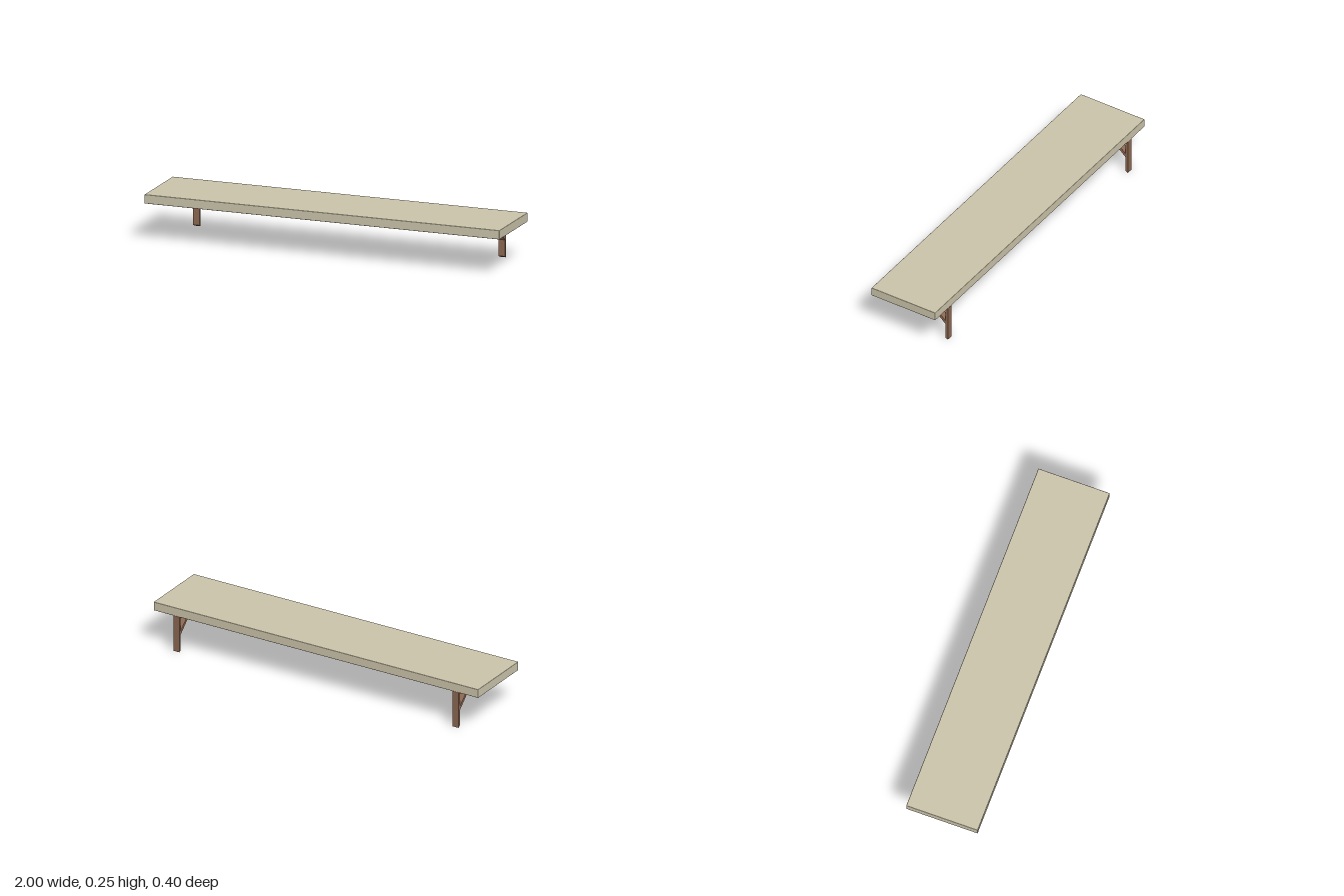
import * as THREE from 'three';
import { RoundedBoxGeometry } from 'three/addons/geometries/RoundedBoxGeometry.js';

const board = new THREE.MeshStandardMaterial({ color: 0xcbc4aa });
board.name = 'pale board';
const wood = new THREE.MeshStandardMaterial({ color: 0x8d6851 });
wood.name = 'brown wood';

const WIDTH = 0.036;

// Extrudes a side profile of [z, y] points across the bracket width
function sideProfile(name, points) {
  const shape = new THREE.Shape(points.map(([z, y]) => new THREE.Vector2(-z, y)));
  const geometry = new THREE.ExtrudeGeometry(shape, { depth: WIDTH, bevelEnabled: false });
  geometry.translate(0, 0, -WIDTH / 2).rotateY(Math.PI / 2);
  const mesh = new THREE.Mesh(geometry, wood);
  mesh.name = name;
  return mesh;
}

function createBracket(name, x) {
  const bracket = new THREE.Group();
  bracket.name = name;
  bracket.position.x = x;
  bracket.add(
    // Wall post with a slanted foot
    sideProfile('post', [[-0.184, 0.008], [-0.198, 0], [-0.198, 0.191], [-0.184, 0.191]]),
    // Arm under the board with a chamfered tip
    sideProfile('arm', [[0.006, 0.191], [-0.198, 0.191], [-0.198, 0.204], [0.014, 0.204], [0.012, 0.197]]),
    // Diagonal brace
    sideProfile('brace', [[-0.082, 0.191], [-0.184, 0.097], [-0.184, 0.119], [-0.104, 0.191]])
  );
  return bracket;
}

export function createModel() {
  const model = new THREE.Group();
  model.name = 'wallShelf';

  // Board with slightly eased edges
  const shelf = new THREE.Mesh(new RoundedBoxGeometry(2, 0.049, 0.398, 2, 0.003), board);
  shelf.name = 'shelfBoard';
  shelf.position.y = 0.2285;
  model.add(shelf);

  model.add(createBracket('leftBracket', 0.86), createBracket('rightBracket', -0.86));
  return model;
}
